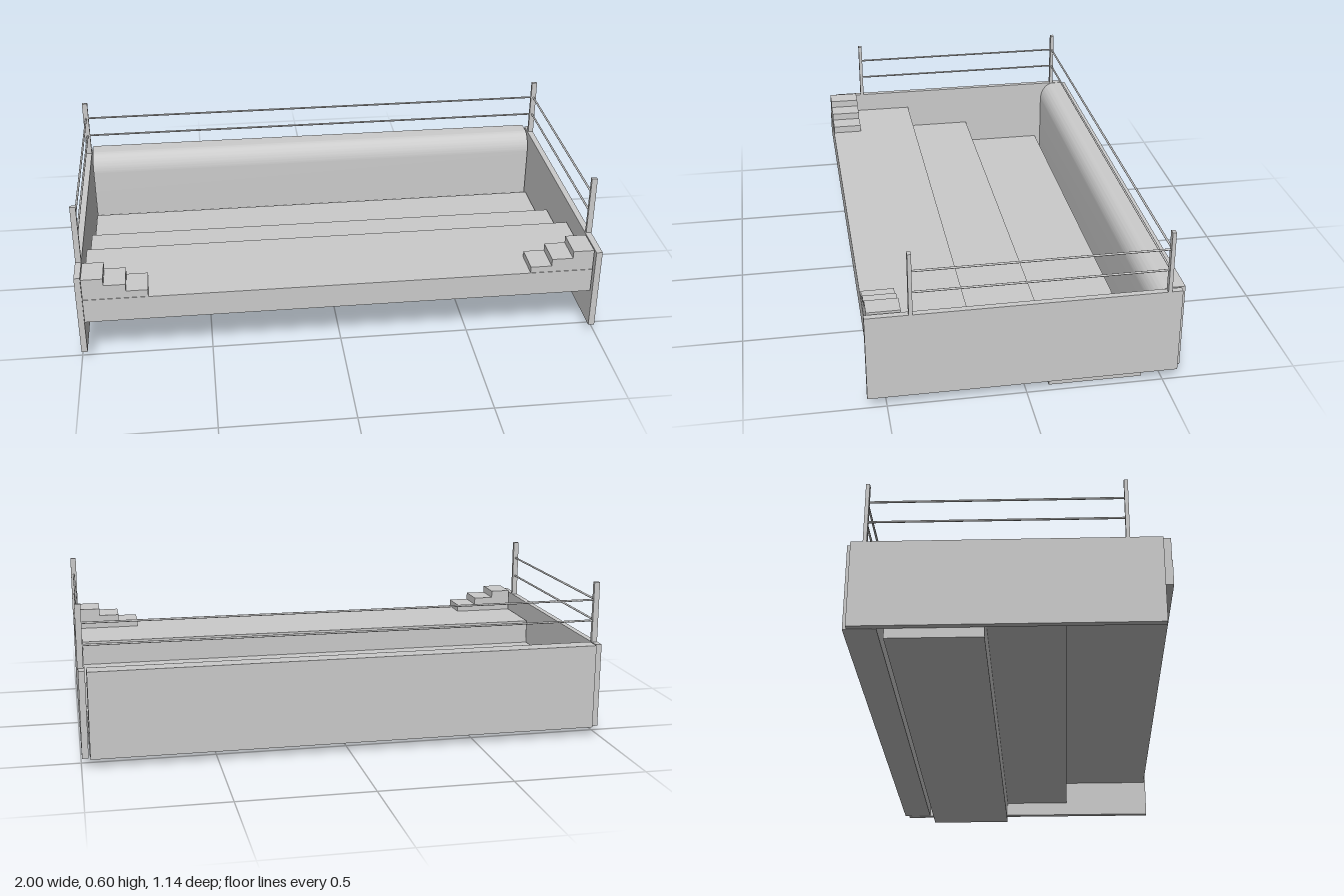
import * as THREE from 'three';
import { toCreasedNormals } from 'three/addons/utils/BufferGeometryUtils.js';

const X0 = -0.973, X1 = 0.967; // inner span between the side walls

export function createModel() {
  const model = new THREE.Group();
  const material = new THREE.MeshStandardMaterial({ color: 0xcccccc });

  const add = (name, geometry) => {
    const mesh = new THREE.Mesh(geometry, material);
    mesh.name = name;
    model.add(mesh);
    return mesh;
  };
  // Box given by its lower and upper limits on each axis
  const box = (name, x0, x1, y0, y1, z0, z1) =>
    add(name, new THREE.BoxGeometry(x1 - x0, y1 - y0, z1 - z0))
      .position.set((x0 + x1) / 2, (y0 + y1) / 2, (z0 + z1) / 2);
  // Thin round rail between two points
  const rail = (name, a, b) =>
    add(name, new THREE.TubeGeometry(new THREE.LineCurve3(a, b), 1, 0.004, 8));

  // Terraced floor rising towards the front
  box('lowerTerrace', X0, X1, 0, 0.092, -0.43, -0.087);
  box('middleTerrace', X0, X1, 0.092, 0.19, -0.087, 0.193);
  box('frontDeck', X0, X1, 0.19, 0.287, 0.193, 0.56);

  // Side walls
  box('rightWall', -1, -0.977, 0.035, 0.365, -0.557, 0.53);
  box('leftWall', 0.973, 0.997, 0.035, 0.365, -0.555, 0.568);

  // Back wall with a rounded inner top edge
  const profile = new THREE.Shape();
  profile.moveTo(-0.572, 0.035);
  profile.lineTo(-0.455, 0.035);
  profile.lineTo(-0.455, 0.285);
  profile.absellipse(-0.515, 0.285, 0.06, 0.08, 0, Math.PI / 2, false);
  profile.lineTo(-0.572, 0.365);
  profile.closePath();
  const wall = new THREE.ExtrudeGeometry(profile, { depth: X1 - X0, bevelEnabled: false, curveSegments: 16 });
  wall.rotateY(-Math.PI / 2).translate(X1, 0, 0);
  add('backWall', toCreasedNormals(wall, 0.5));

  // Corner stairs on the deck, climbing towards the side walls
  for (let i = 0; i < 3; i++) {
    const top = 0.374 - i * 0.029;
    box('rightStair', X0 + i * 0.081, X0 + (i + 1) * 0.081, 0.287, top, 0.438, 0.558);
    box('leftStair', X1 - (i + 1) * 0.081, X1 - i * 0.081, 0.284, top - 0.004, 0.438, 0.558);
  }

  // Railing posts
  const postX = 0.988, frontZ = 0.408, backZ = -0.507;
  for (const x of [-postX, postX]) {
    for (const z of [frontZ, backZ]) {
      box('railingPost', x - 0.011, x + 0.011, 0.36, 0.602, z - 0.007, z + 0.007);
    }
  }

  // Two rails along each side and the back
  for (const y of [0.45, 0.532]) {
    for (const x of [-postX, postX]) {
      rail('sideRail', new THREE.Vector3(x, y, backZ), new THREE.Vector3(x, y, frontZ));
    }
    rail('backRail', new THREE.Vector3(-postX, y, backZ), new THREE.Vector3(postX, y, backZ));
  }

  return model;
}
